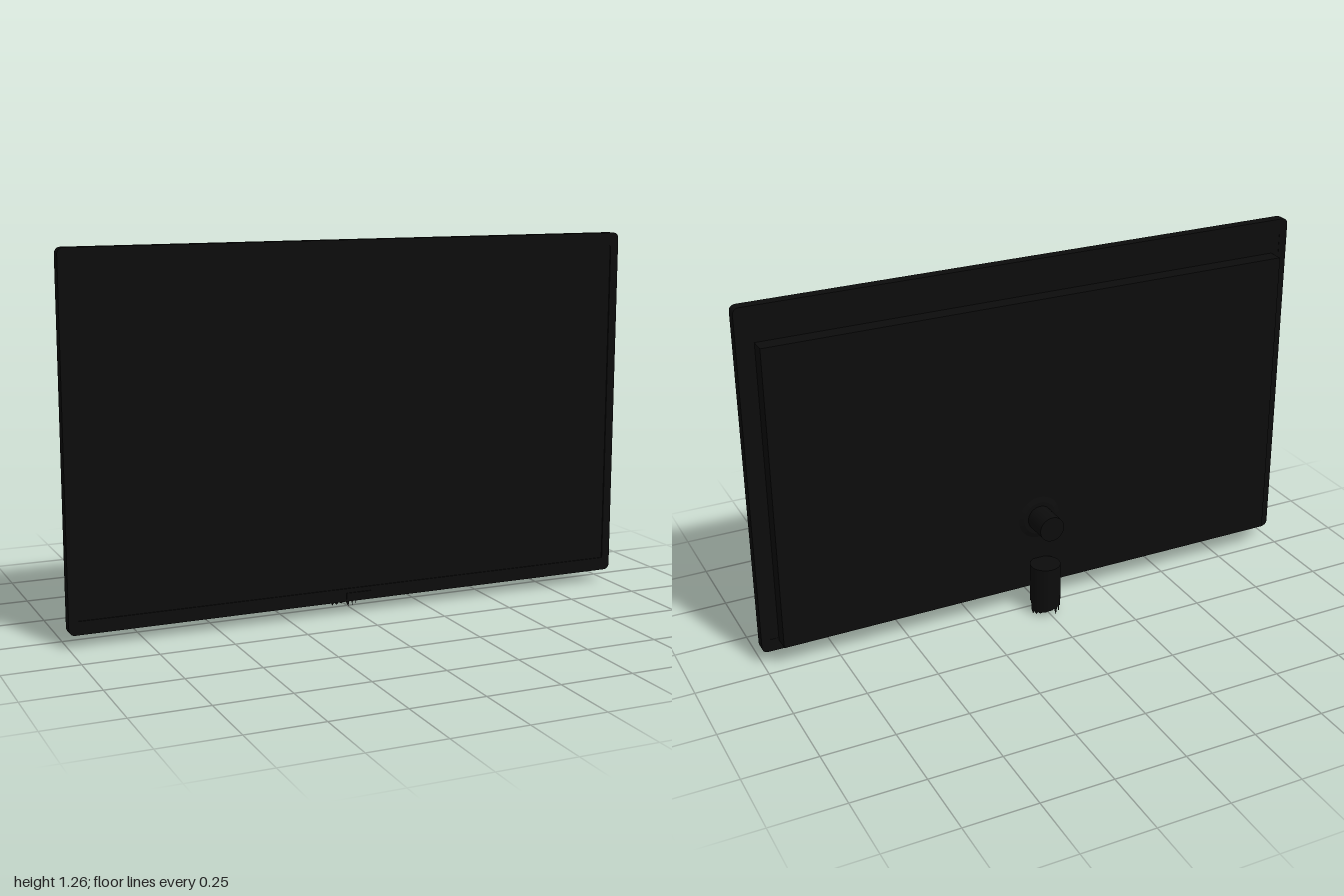
import * as THREE from 'three';

// Rounded rectangle outline, used for shapes and holes
function roundedRect(target, w, h, r) {
  const x = w / 2, y = h / 2;
  target.moveTo(-x + r, -y);
  target.lineTo(x - r, -y);
  target.absarc(x - r, -y + r, r, -Math.PI / 2, 0, false);
  target.lineTo(x, y - r);
  target.absarc(x - r, y - r, r, 0, Math.PI / 2, false);
  target.lineTo(-x + r, y);
  target.absarc(-x + r, y - r, r, Math.PI / 2, Math.PI, false);
  target.lineTo(-x, -y + r);
  target.absarc(-x + r, -y + r, r, Math.PI, Math.PI * 1.5, false);
  return target;
}

export function createModel() {
  const model = new THREE.Group();
  const casing = new THREE.MeshStandardMaterial({ color: 0x0c0c0c });
  casing.name = 'black casing';
  const tubeMaterial = new THREE.MeshStandardMaterial({ color: 0x0c0c0c, side: THREE.DoubleSide });
  tubeMaterial.name = 'black tube';

  function add(name, geometry, x, y, z, material = casing) {
    const mesh = new THREE.Mesh(geometry, material);
    mesh.name = name;
    mesh.position.set(x, y, z);
    model.add(mesh);
    return mesh;
  }

  // Bezel frame with rounded corners around a slightly recessed screen
  const outline = roundedRect(new THREE.Shape(), 2, 1.22, 0.02);
  outline.holes.push(roundedRect(new THREE.Path(), 1.94, 1.13, 0.005));
  add('bezel', new THREE.ExtrudeGeometry(outline, { depth: 0.037, bevelEnabled: false, curveSegments: 5 }), 0, 0.655, 0.06);
  add('screen', new THREE.BoxGeometry(1.95, 1.14, 0.032), 0, 0.655, 0.077);

  // Sensor bump on the lower bezel
  add('sensor', new THREE.BoxGeometry(0.09, 0.022, 0.005), 0, 0.064, 0.0985);

  // Raised rear housing
  add('rearHousing', new THREE.BoxGeometry(1.88, 1.065, 0.056), 0, 0.6125, 0.033);

  // Shallow flange and round mounting boss on the back
  const flange = add('mountFlange', new THREE.CylinderGeometry(0.08, 0.06, 0.008, 32), 0, 0.345, 0.002);
  flange.rotation.x = Math.PI / 2;
  const boss = add('mountBoss', new THREE.CylinderGeometry(0.045, 0.045, 0.1, 32), 0, 0.345, -0.046);
  boss.rotation.x = Math.PI / 2;

  // Stand stub: an open tube whose lower edge is torn
  const sides = 40, height = 0.185;
  const tube = new THREE.CylinderGeometry(0.053, 0.053, height, sides, 1, true);
  const p = tube.attributes.position;
  for (let i = 0; i < p.count; i++) {
    if (p.getY(i) > 0) continue;
    const k = i % (sides + 1) % sides;
    p.setY(i, -height / 2 + 0.055 * ((k * 17) % 11) / 10 * (k % 2 ? 1 : 0.4));
  }
  add('standTube', tube, 0, height / 2, -0.043, tubeMaterial);
  const cap = add('standCap', new THREE.CircleGeometry(0.053, sides), 0, height, -0.043, tubeMaterial);
  cap.rotation.x = -Math.PI / 2;

  return model;
}
